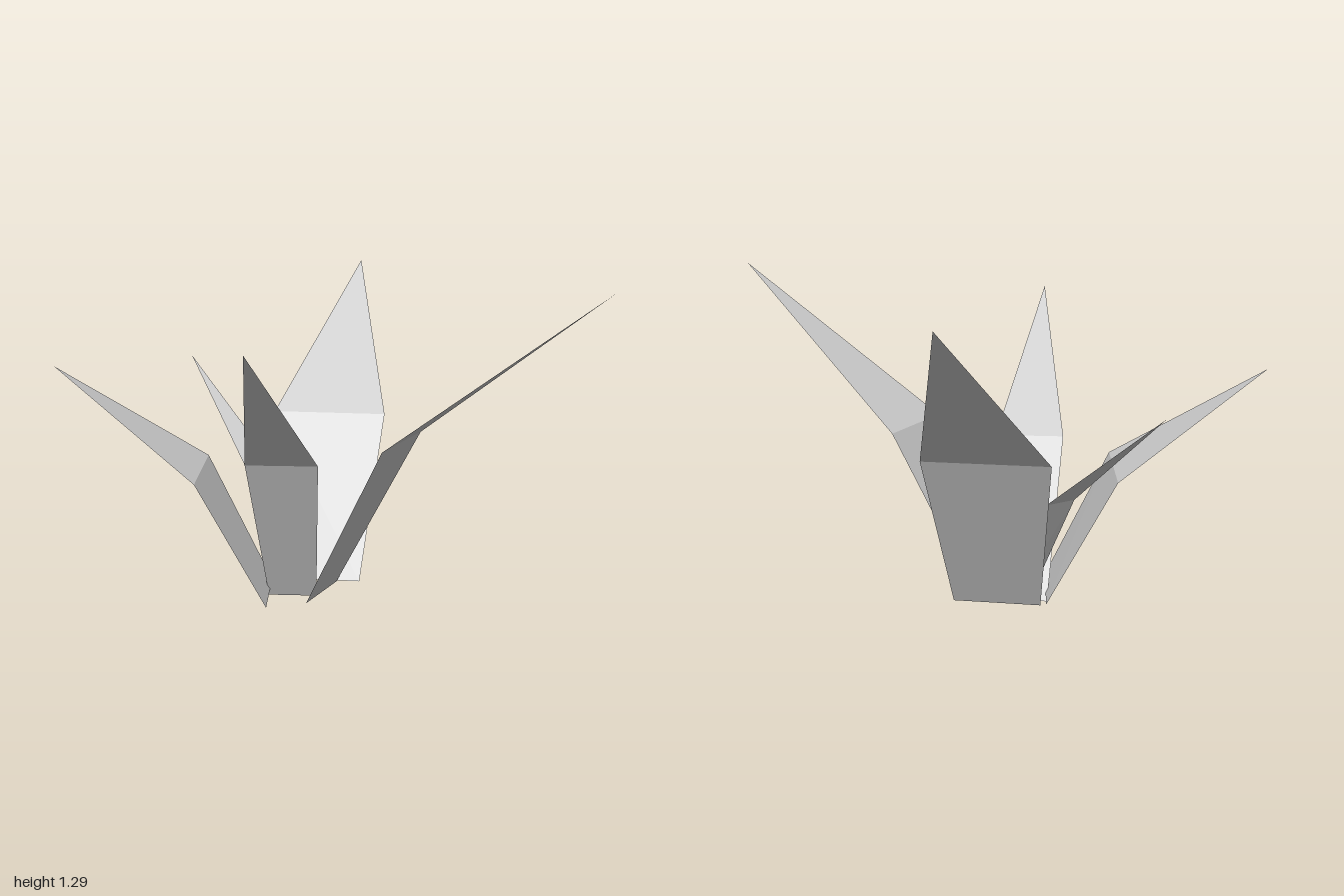
import * as THREE from 'three';

// Each leaf is a folded blade: base edge, bend edge and tip.
// An edge is [xA, zA, xB, zB] at one height; the tip is [x, y, z].
const LEAVES = [
  { name: 'frontLeaf', baseY: 0.03, base: [-0.215, -0.015, 0.055, -0.135], bendY: 0.68, bend: [-0.13, 0.32, 0.245, 0.155], tip: [0.345, 1.29, 1.0] },
  { name: 'frontRightLeaf', baseY: 0, base: [-0.2, -0.263, -0.067, -0.122], bendY: 0.61, bend: [-0.445, -0.097, -0.255, 0.105], tip: [-0.91, 1.143, 0.495] },
  { name: 'backLeftLeaf', baseY: 0.03, base: [0.125, -0.072, -0.09, -0.338], bendY: 0.67, bend: [0.425, -0.235, 0.125, -0.605], tip: [0.905, 1.258, -0.89] },
  { name: 'backRightLeaf', baseY: 0.03, base: [-0.115, -0.345, -0.365, -0.08], bendY: 0.54, bend: [-0.255, -0.577, -0.6, -0.21], tip: [-0.815, 0.943, -0.823] },
  { name: 'backSmallLeaf', baseY: 0.03, base: [-0.045, -0.22, -0.145, -0.228], bendY: 0.47, bend: [-0.01, -0.443, -0.145, -0.457], tip: [-0.02, 0.885, -1.0] },
];

function leafGeometry({ baseY, base, bendY, bend, tip }) {
  const edge = ([xa, za, xb, zb], y) => [[xa, y, za], [xb, y, zb]];
  const [a, b] = edge(base, baseY);
  const [c, d] = edge(bend, bendY);
  // lower quad, then the pointed upper triangle; corners unshared for a crisp fold
  const corners = [a, b, d, a, d, c, c, d, tip];
  const geometry = new THREE.BufferGeometry();
  geometry.setAttribute('position', new THREE.Float32BufferAttribute(corners.flat(), 3));
  geometry.computeVertexNormals();
  return geometry;
}

export function createModel() {
  const plant = new THREE.Group();
  plant.name = 'plant';
  const material = new THREE.MeshStandardMaterial({
    color: 0xcccccc, flatShading: true, side: THREE.DoubleSide,
  });
  for (const leaf of LEAVES) {
    const mesh = new THREE.Mesh(leafGeometry(leaf), material);
    mesh.name = leaf.name;
    plant.add(mesh);
  }
  return plant;
}
